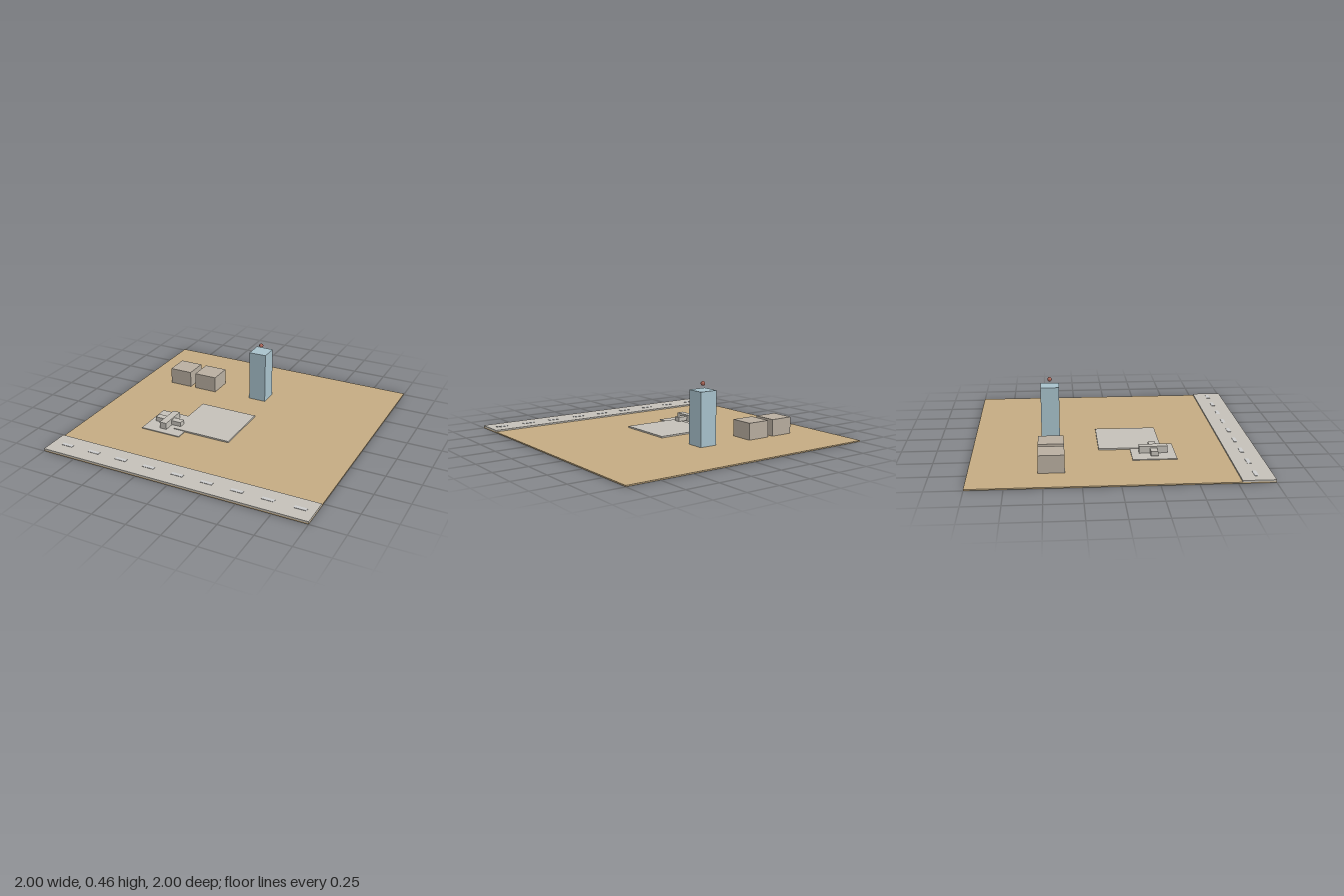
import * as THREE from 'three';

const paint = (color) => new THREE.MeshStandardMaterial({ color });
const sand = paint(0xc4ab82);
const concrete = paint(0xc4c0b8);
const white = paint(0xd4d4d4);
const plaster = paint(0xb8aea0);
const glass = paint(0xa8c2cc);
const red = paint(0xb06a5c);

// Box given by its lower and upper limits on each axis
function block(name, [x0, x1], [y0, y1], [z0, z1], material) {
  const mesh = new THREE.Mesh(new THREE.BoxGeometry(x1 - x0, y1 - y0, z1 - z0), material);
  mesh.position.set((x0 + x1) / 2, (y0 + y1) / 2, (z0 + z1) / 2);
  mesh.name = name;
  return mesh;
}

export function createModel() {
  const model = new THREE.Group();
  model.name = 'airfield';
  const groundTop = 0.009;

  model.add(block('ground', [-1, 1], [0, groundTop], [-1, 1], sand));

  // Runway along the front edge with a dashed centre line
  const runway = new THREE.Group();
  runway.name = 'runway';
  runway.add(block('runwaySlab', [-1, 1], [groundTop, 0.02], [0.778, 1], concrete));
  for (let i = 0; i < 9; i++) {
    const x = -0.88 + i * 0.2225;
    runway.add(block('runwayDash', [x - 0.044, x + 0.044], [0.018, 0.0225], [0.873, 0.9], white));
  }
  model.add(runway);

  // Large apron and the lower parking pad at its corner
  model.add(block('apron', [-0.335, 0.11], [groundTop, 0.02], [-0.111, 0.333], concrete));
  model.add(block('parkingPad', [-0.557, -0.246], [groundTop, 0.015], [0.111, 0.42], concrete));

  // Parked aeroplane
  const plane = new THREE.Group();
  plane.name = 'aeroplane';
  plane.add(block('fuselage', [-0.435, -0.381], [0.015, 0.064], [0.167, 0.367], concrete));
  plane.add(block('wings', [-0.513, -0.303], [0.02, 0.053], [0.242, 0.292], concrete));
  model.add(plane);

  // Two hangars
  for (const x of [-0.668, -0.446]) {
    model.add(block('hangar', [x - 0.089, x + 0.089], [groundTop, 0.133], [-0.535, -0.357], plaster));
  }

  // Control tower with a warning light floating above it
  model.add(block('controlTower', [-0.067, 0.067], [groundTop, 0.398], [-0.514, -0.38], glass));
  const beacon = new THREE.Mesh(new THREE.SphereGeometry(0.016, 16, 12), red);
  beacon.position.set(0, 0.444, -0.447);
  beacon.name = 'beacon';
  model.add(beacon);

  return model;
}
